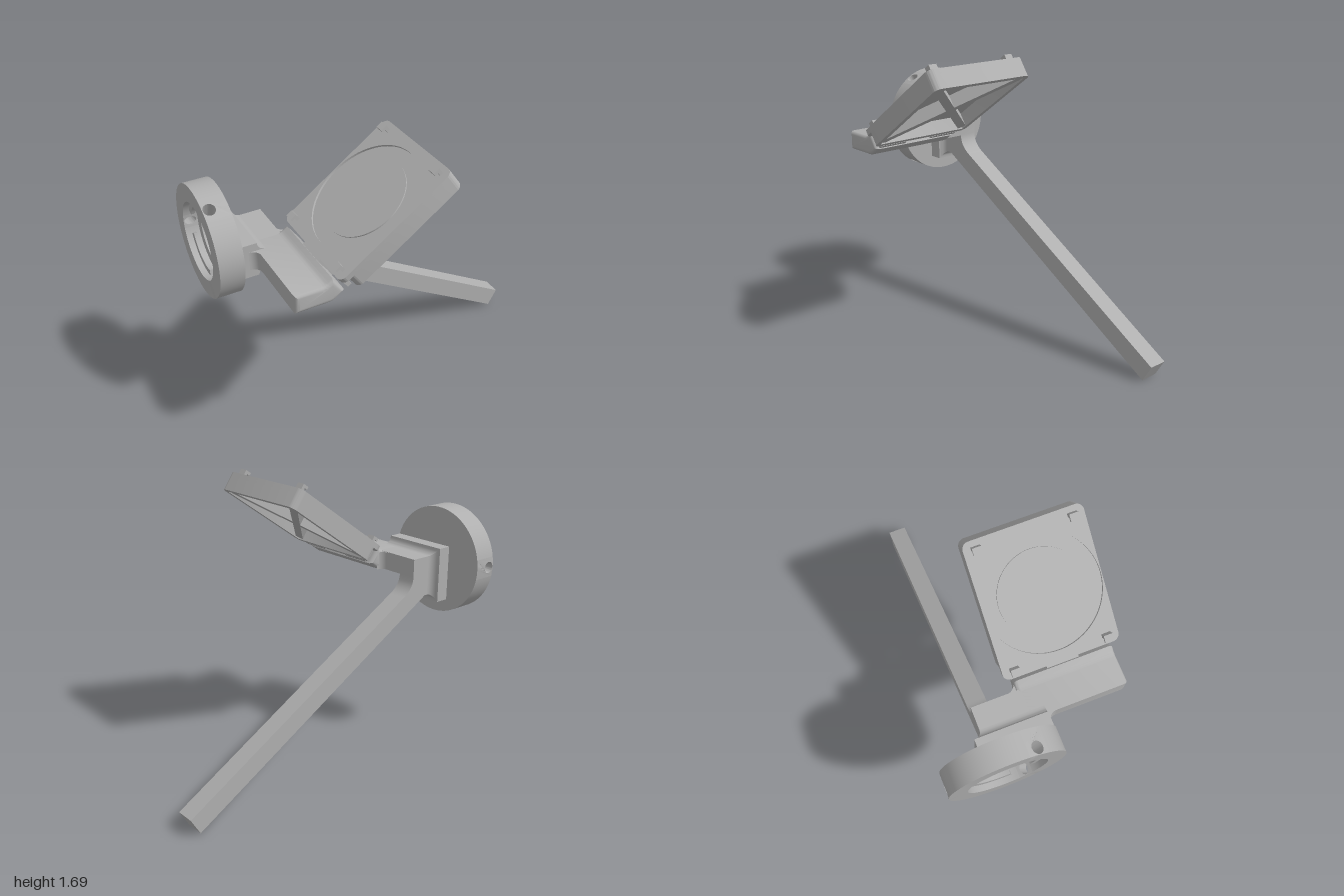
import * as THREE from 'three';
import { toCreasedNormals } from 'three/addons/utils/BufferGeometryUtils.js';

const grey = new THREE.MeshStandardMaterial({ color: 0xb0b0b0 });
grey.name = 'plain grey';

function add(parent, name, geo) {
  const m = new THREE.Mesh(toCreasedNormals(geo, 0.6), grey);
  m.name = name;
  parent.add(m);
  return m;
}
const poly = pts => new THREE.Shape(pts.map(p => new THREE.Vector2(p[0], p[1])));
const extrude = (shape, depth, extra = {}) =>
  new THREE.ExtrudeGeometry(shape, { depth, bevelEnabled: false, curveSegments: 40, ...extra });
// box given by its limits
const box = (x0, x1, y0, y1, z0, z1) => new THREE.BoxGeometry(x1 - x0, y1 - y0, z1 - z0)
  .translate((x0 + x1) / 2, (y0 + y1) / 2, (z0 + z1) / 2);
const circle = (x, y, r) => new THREE.Path().absarc(x, y, r, 0, Math.PI * 2, true);

function roundedRect(x0, x1, y0, y1, r) {
  const s = new THREE.Shape();
  s.absarc(x1 - r, y1 - r, r, 0, Math.PI / 2);
  s.absarc(x0 + r, y1 - r, r, Math.PI / 2, Math.PI);
  s.absarc(x0 + r, y0 + r, r, Math.PI, Math.PI * 1.5);
  s.absarc(x1 - r, y0 + r, r, Math.PI * 1.5, Math.PI * 2);
  s.closePath();
  return s;
}
// concave corner filler standing along y, legs pointing to sx and sz
function fillet(f, x, z, sx, sz, y0, y1) {
  const arc = [];
  for (let i = 0; i <= 8; i++) {
    const t = i / 8 * Math.PI / 2;
    arc.push([sx * f * (1 - Math.sin(t)), sz * f * (1 - Math.cos(t))]);
  }
  return extrude(poly([[0, 0], ...arc]), y1 - y0).rotateX(Math.PI / 2).translate(x, y1, z);
}

const R = 0.322, RI = 0.22, CY = 1.152, CZ = -0.245;
// wraps (arc length, x, radius) around the axis of the round mount
function wrap(geo, a0) {
  const p = geo.attributes.position;
  for (let i = 0; i < p.count; i++) {
    const a = a0 - p.getX(i) / R, r = p.getZ(i);
    p.setXYZ(i, p.getY(i), CY + r * Math.sin(a), CZ + r * Math.cos(a));
  }
  return geo;
}
function wrappedBox(angle, x0, x1, r0, r1, a0) {
  const g = new THREE.BoxGeometry(angle * R, x1 - x0, r1 - r0, 32, 1, 1);
  return wrap(g.translate(0, (x0 + x1) / 2, (r0 + r1) / 2), a0);
}

function roundMount() {
  const g = new THREE.Group();
  g.name = 'roundMount';
  const half = 0.06, third = Math.PI * 2 / 3;
  for (let i = 0; i < 3; i++) {
    const a = Math.PI / 3 + i * third;
    // wall piece with a radial screw hole
    const s = poly([-1, -0.5, 0, 0.5, 1].map(k => [k * half, -1])
      .concat([1, 0.5, 0, -0.5, -1].map(k => [k * half, -0.86])));
    s.holes.push(circle(0, -0.962, 0.034));
    add(g, 'screwHoleWall', wrap(extrude(s, R - RI, { curveSegments: 16 }).translate(0, 0, RI), a));
    add(g, 'wallSector', wrappedBox(third - 2 * half / R, -1, -0.86, RI, R, a + third / 2));
    add(g, 'lockingLug', wrappedBox(1.4, -0.965, -0.945, 0.185, RI + 0.002, a + third / 2));
  }
  const turn = Math.PI / 2;
  add(g, 'mountFloor', new THREE.CylinderGeometry(RI + 0.001, RI + 0.001, 0.03, 64)
    .rotateZ(turn).translate(-0.875, CY, CZ));
  const ring = new THREE.Shape().absarc(0, 0, RI + 0.001, 0, Math.PI * 2);
  ring.holes.push(circle(0, 0, 0.165));
  add(g, 'innerStep', extrude(ring, 0.03).rotateY(turn).translate(-0.92, CY, CZ));
  return g;
}

// L-shaped foot that flares onto the round mount
function flaredFoot() {
  const f = 0.045, rings = [[-0.86, f]], pos = [];
  for (let k = 0; k <= 8; k++) {
    const t = k / 8 * Math.PI / 2;
    rings.push([-0.78 + f * (1 - Math.cos(t)), f * (1 - Math.sin(t))]);
  }
  const section = ([x, o]) => [
    [x, 0.965 - o, -0.3 - o], [x, 0.965 - o, -0.19 + o], [x, 1.095 - o, -0.19 + o],
    [x, 1.095 - o, 0.06], [x, 1.205 + o, 0.06], [x, 1.205 + o, -0.3 - o]];
  for (let k = 0; k + 1 < rings.length; k++) {
    const p = section(rings[k]), q = section(rings[k + 1]);
    for (let i = 0; i < 6; i++) {
      const j = (i + 1) % 6;
      pos.push(...p[i], ...q[i], ...q[j], ...p[i], ...q[j], ...p[j]);
    }
  }
  const g = new THREE.BufferGeometry();
  g.setAttribute('position', new THREE.Float32BufferAttribute(pos, 3));
  return g;
}

// tilted tray: local x runs up the slope, local y is its normal
function tray() {
  const g = new THREE.Group();
  g.name = 'tray';
  g.position.set(-0.555, 1.245, 0);
  g.rotation.z = 0.61;
  const L = 0.763, z0 = -0.09, z1 = 0.564, zc = (z0 + z1) / 2;
  const flat = (shape, top, depth) => extrude(shape, depth).rotateX(Math.PI / 2).translate(0, top, 0);

  // top skin with a shallow round recess and a raised centre disc
  const skin = roundedRect(0, L, z0, z1, 0.04);
  skin.holes.push(circle(L / 2, zc, 0.322));
  add(g, 'topSkin', flat(skin, 0, 0.012));
  add(g, 'trayFloor', flat(roundedRect(0, L, z0, z1, 0.04), -0.012, 0.02));
  add(g, 'centreDisc', new THREE.CylinderGeometry(0.24, 0.24, 0.008, 64).translate(L / 2, -0.009, zc));

  // rim and crossed ribs below
  const rim = roundedRect(0.04, L, z0, z1, 0.04), w = 0.03;
  rim.holes.push(new THREE.Path(roundedRect(0.04 + w, L - w, z0 + w, z1 - w, 0.005).getPoints(4)));
  add(g, 'rim', flat(rim, -0.03, 0.085));
  const dx = L - 0.04 - 2 * w, dz = z1 - z0 - 2 * w;
  for (const s of [-1, 1]) {
    add(g, 'crossRib', new THREE.BoxGeometry(Math.hypot(dx, dz) - 0.03, 0.08, 0.05)
      .rotateY(s * Math.atan2(dz, dx)).translate((L + 0.04) / 2, -0.068, zc));
    // hinge knuckles at the lower edge
    const c = zc + s * 0.18;
    add(g, 'hingeKnuckle', box(0.004, 0.028, -0.113, -0.02, c - 0.09, c + 0.09));
    add(g, 'knuckleWeb', box(0.02, 0.05, -0.1, -0.04, c - 0.06, c + 0.06));
    // hooked clips on top
    for (const x of [0.045, 0.715]) {
      const cz = zc + s * 0.26;
      add(g, 'clipPost', box(x - 0.005, x + 0.015, -0.015, 0.04, cz - 0.025, cz + 0.025));
      add(g, 'clipHook', box(x - 0.025, x + 0.015, 0.022, 0.04, cz - 0.025, cz + 0.025));
    }
  }
  add(g, 'hingeBridge', box(-0.03, 0.05, -0.09, -0.015, zc - 0.09, zc + 0.09));
  return g;
}

export function createModel() {
  const model = new THREE.Group();
  model.name = 'wallBracket';
  model.add(roundMount());
  add(model, 'flaredFoot', flaredFoot());

  // long sloping arm with a rounded elbow
  const arm = poly([[-0.78, 0.965], [-0.715, 0.965], [0.942, 0.003], [1, 0.102], [-0.53, 0.985]]);
  arm.bezierCurveTo(-0.58, 1.012, -0.61, 1.05, -0.61, 1.1);
  arm.lineTo(-0.61, 1.205);
  arm.lineTo(-0.78, 1.205);
  add(model, 'slopingArm', extrude(arm, 0.11, { curveSegments: 10 }).translate(0, 0, -0.3));

  // cross bar that bends upward toward the tray
  add(model, 'crossBar', box(-0.78, -0.61, 1.095, 1.205, -0.3, 0.1));
  const bend = poly([[-0.78, 1.095], [-0.6, 1.095]]);
  bend.quadraticCurveTo(-0.573, 1.095, -0.555, 1.108);
  bend.lineTo(-0.505, 1.143);
  bend.lineTo(-0.568, 1.233);
  bend.lineTo(-0.59, 1.218);
  bend.quadraticCurveTo(-0.607, 1.205, -0.63, 1.205);
  bend.lineTo(-0.78, 1.205);
  const b = 0.025;
  add(model, 'bentBar', extrude(bend, 0.565 - 2 * b, {
    curveSegments: 8, bevelEnabled: true, bevelSize: b, bevelThickness: b, bevelOffset: -b, bevelSegments: 5,
  }).translate(0, 0, -0.048 + b));
  add(model, 'barFillet', fillet(0.05, -0.78, 0.06, -1, 1, 1.095, 1.205));
  add(model, 'barFillet', fillet(0.05, -0.61, -0.046, 1, -1, 1.097, 1.203));

  model.add(tray());
  return model;
}
